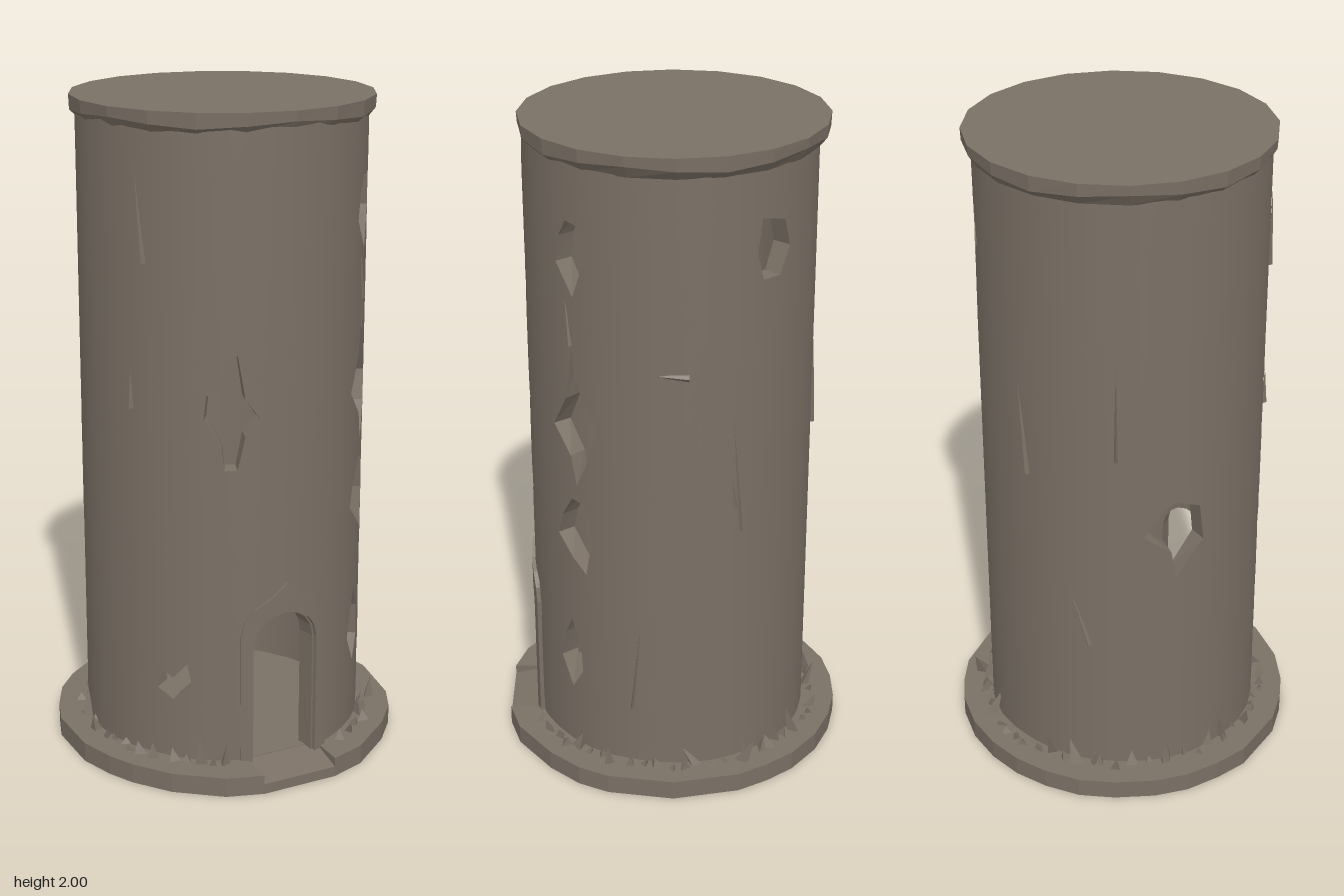
import * as THREE from 'three';

const stone = new THREE.MeshStandardMaterial({ color: 0x7a7065 });
stone.name = 'weathered stone';
const D = Math.PI / 180;

// seeded random numbers
let seed = 7;
const rnd = () => (seed = (seed * 16807) % 2147483647) / 2147483647;

const toPoints = (pairs) => pairs.map(([deg, y]) => new THREE.Vector2(deg * D, y));

// slightly uneven roundness of the masonry
const wobble = (a) => 0.003 * Math.sin(3 * a + 1) + 0.002 * Math.sin(8 * a);

// Extrudes an unrolled shape (angle, height), subdivides it and bends it round the tower
function bend(shape, inner, outer) {
  const src = new THREE.ExtrudeGeometry(shape, { depth: outer - inner, bevelEnabled: false, curveSegments: 6 });
  const geo = src.index ? src.toNonIndexed() : src;
  const p = geo.attributes.position;
  const pos = [], nor = [];
  const place = (v) => {
    const r = inner + v.z + wobble(v.x);
    return new THREE.Vector3(r * Math.sin(v.x), v.y, r * Math.cos(v.x));
  };
  function emit(t) {
    const du = [0, 1, 2].map((i) => Math.abs(t[i].x - t[(i + 1) % 3].x));
    const k = du.indexOf(Math.max(...du));
    if (du[k] > 0.22) {
      const a = t[k], b = t[(k + 1) % 3], c = t[(k + 2) % 3];
      const m = a.clone().add(b).multiplyScalar(0.5);
      emit([a, m, c]);
      emit([m, b, c]);
      return;
    }
    const flat = new THREE.Triangle(...t).getNormal(new THREE.Vector3());
    const q = t.map(place);
    const face = new THREE.Triangle(...q).getNormal(new THREE.Vector3());
    q.forEach((v, i) => {
      pos.push(v.x, v.y, v.z);
      const s = Math.sign(flat.z);
      const n = Math.abs(flat.z) > 0.9 ? new THREE.Vector3(s * Math.sin(t[i].x), 0, s * Math.cos(t[i].x)) : face;
      nor.push(n.x, n.y, n.z);
    });
  }
  for (let i = 0; i < p.count; i += 3) {
    emit([0, 1, 2].map((j) => new THREE.Vector3().fromBufferAttribute(p, i + j)));
  }
  const out = new THREE.BufferGeometry();
  out.setAttribute('position', new THREE.Float32BufferAttribute(pos, 3));
  out.setAttribute('normal', new THREE.Float32BufferAttribute(nor, 3));
  return out;
}

function faceted(geo) {
  const g = geo.index ? geo.toNonIndexed() : geo;
  g.computeVertexNormals();
  return g;
}

// jagged openings as [angle in degrees from the front, height]
const openings = [
  [[-21, 1.32], [-18, 1.19], [-12, 1.13], [-18, 1.08], [-21, 0.98], [-26, 0.98], [-27, 1.05], [-34, 1.13], [-33, 1.2], [-27, 1.24], [-26, 1.29]],
  [[46, 1.78], [54, 1.77], [55, 1.68], [49, 1.56], [40, 1.65], [42, 1.73]],
  [[48, 1.4], [49, 1.32], [54, 1.24], [59, 1.17], [56, 1.08], [49, 0.97], [46, 1.06], [36, 1.14], [44, 1.24]],
  [[46, 0.92], [54, 0.91], [56, 0.8], [53, 0.68], [46, 0.72], [37, 0.78], [40, 0.85]],
  [[44, 0.5], [49, 0.43], [50, 0.33], [44, 0.26], [37, 0.35], [40, 0.44]],
  [[125, 1.8], [136, 1.78], [139, 1.7], [134, 1.62], [126, 1.62], [123, 1.7]],
  [[-139, 0.89], [-132, 0.97], [-127, 1.0], [-116, 0.97], [-114, 0.85], [-126, 0.74], [-128, 0.83]],
  [[-55, 0.35], [-47, 0.32], [-41, 0.37], [-39, 0.3], [-47, 0.25], [-54, 0.28]],
];

// arch outline from left foot over the top to right foot
function arch(left, right, spring, top, foot) {
  const mid = (left + right) / 2, half = (right - left) / 2;
  const pts = [[left, foot]];
  for (let i = 0; i <= 8; i++) {
    const a = Math.PI * (1 - i / 8);
    pts.push([mid + half * Math.cos(a), spring + (top - spring) * Math.sin(a)]);
  }
  pts.push([right, foot]);
  return pts;
}

// shallow stone chips: [angle, height, width, length, tilt]
const chips = [
  [90, 1.36, 0.035, 0.09, 1.5], [115, 1.1, 0.02, 0.5, 0.08], [114, 1.0, 0.03, 0.14, 0.1],
  [-60, 1.7, 0.015, 0.26, 0.1], [-65, 1.2, 0.02, 0.12, 0], [46, 1.48, 0.02, 0.14, 0.15],
  [75, 0.4, 0.012, 0.3, -0.1], [-150, 1.3, 0.015, 0.3, 0], [-165, 0.6, 0.02, 0.2, 0.3], [170, 1.2, 0.015, 0.3, 0.1],
];

export function createModel() {
  const tower = new THREE.Group();
  tower.name = 'tower';
  const add = (name, geo, parent = tower) => {
    const m = new THREE.Mesh(geo, stone);
    m.name = name;
    parent.add(m);
    return m;
  };

  // hollow wall with doorway notch and broken openings
  const opening = arch(-15.5, 11.5, 0.43, 0.53, 0.05);
  const wall = new THREE.Shape(toPoints([[-180, 0.05], ...opening, [180, 0.05], [180, 1.97], [-180, 1.97]]));
  openings.forEach((o) => wall.holes.push(new THREE.Path(toPoints(o))));
  add('wall', bend(wall, 0.37, 0.427)).position.x = -0.007;

  // door surround, slightly proud and peaked at the top
  const outer = arch(-20.5, 17, 0.46, 0.585, 0.05);
  outer[5][1] = 0.62;
  const surround = new THREE.Shape(toPoints([...outer, ...opening.slice().reverse()]));
  add('doorSurround', bend(surround, 0.4, 0.437));

  // irregular base slab with a notch for the entrance step, as [x, z]
  const rim = [
    [-0.06, -0.525], [0.05, -0.525], [0.16, -0.5], [0.27, -0.45], [0.37, -0.37], [0.43, -0.29], [0.48, -0.2],
    [0.52, 0], [0.485, 0.2], [0.44, 0.29], [0.36, 0.38], [0.22, 0.485], [0.11, 0.52], [0.11, 0.4],
    [-0.13, 0.4], [-0.13, 0.52], [-0.24, 0.485], [-0.37, 0.385], [-0.45, 0.28], [-0.49, 0.2], [-0.525, 0.09],
    [-0.525, -0.1], [-0.49, -0.2], [-0.44, -0.3], [-0.37, -0.38], [-0.27, -0.455], [-0.17, -0.505],
  ];
  const slab = new THREE.Shape(rim.map(([x, z]) => new THREE.Vector2(x, -z)));
  add('baseSlab', new THREE.ExtrudeGeometry(slab, { depth: 0.06, bevelEnabled: false }).rotateX(-Math.PI / 2));

  // sloping entrance step
  const wedge = new THREE.Shape([[0.4, 0], [0.52, 0], [0.52, 0.032], [0.4, 0.058]].map((p) => new THREE.Vector2(...p)));
  add('entranceStep', new THREE.ExtrudeGeometry(wedge, { depth: 0.24, bevelEnabled: false })
    .rotateY(-Math.PI / 2).translate(0.11, 0, 0));

  // roof slab with a chipped, uneven lower edge
  const roof = new THREE.CylinderGeometry(0.449, 0.425, 0.065, 20, 2);
  const rp = roof.attributes.position;
  for (let i = 0; i < rp.count; i++) {
    const a = Math.atan2(rp.getX(i), rp.getZ(i));
    const y = rp.getY(i);
    if (Math.abs(y) < 0.001) {
      rp.setXYZ(i, 0.447 * Math.sin(a), -0.005 + 0.008 * Math.cos(5 * a), 0.447 * Math.cos(a));
    }
  }
  add('roofSlab', faceted(roof)).position.set(-0.003, 1.9675, -0.007);

  // shards of rubble round the foot of the wall, clear of the doorway
  const rubble = new THREE.Group();
  rubble.name = 'rubble';
  tower.add(rubble);
  const shard = faceted(new THREE.ConeGeometry(1, 1, 3).translate(0, 0.5, 0));
  for (let i = 0; i < 56; i++) {
    const a = (24 + (i + rnd() * 0.8) * 5.6) * D;
    const r = 0.432 + rnd() * 0.03;
    const m = add('shard', shard, rubble);
    m.position.set(r * Math.sin(a), 0.055, r * Math.cos(a));
    m.scale.set(0.012 + rnd() * 0.014, 0.025 + rnd() * rnd() * 0.085, 0.012 + rnd() * 0.014);
    m.rotation.set((rnd() - 0.5) * 0.7, rnd() * 6, (rnd() - 0.5) * 0.7);
  }

  // shallow flakes on the wall face
  const flakes = new THREE.Group();
  flakes.name = 'wallFlakes';
  tower.add(flakes);
  const flake = faceted(new THREE.ConeGeometry(0.5, 1, 3));
  chips.forEach(([deg, y, w, h, tilt]) => {
    const m = add('flake', flake, flakes);
    const a = deg * D;
    m.position.set(0.426 * Math.sin(a) - 0.007, y, 0.426 * Math.cos(a));
    m.scale.set(w, h, 0.018);
    m.rotation.set(0, a, tilt, 'YXZ');
  });

  return tower;
}
